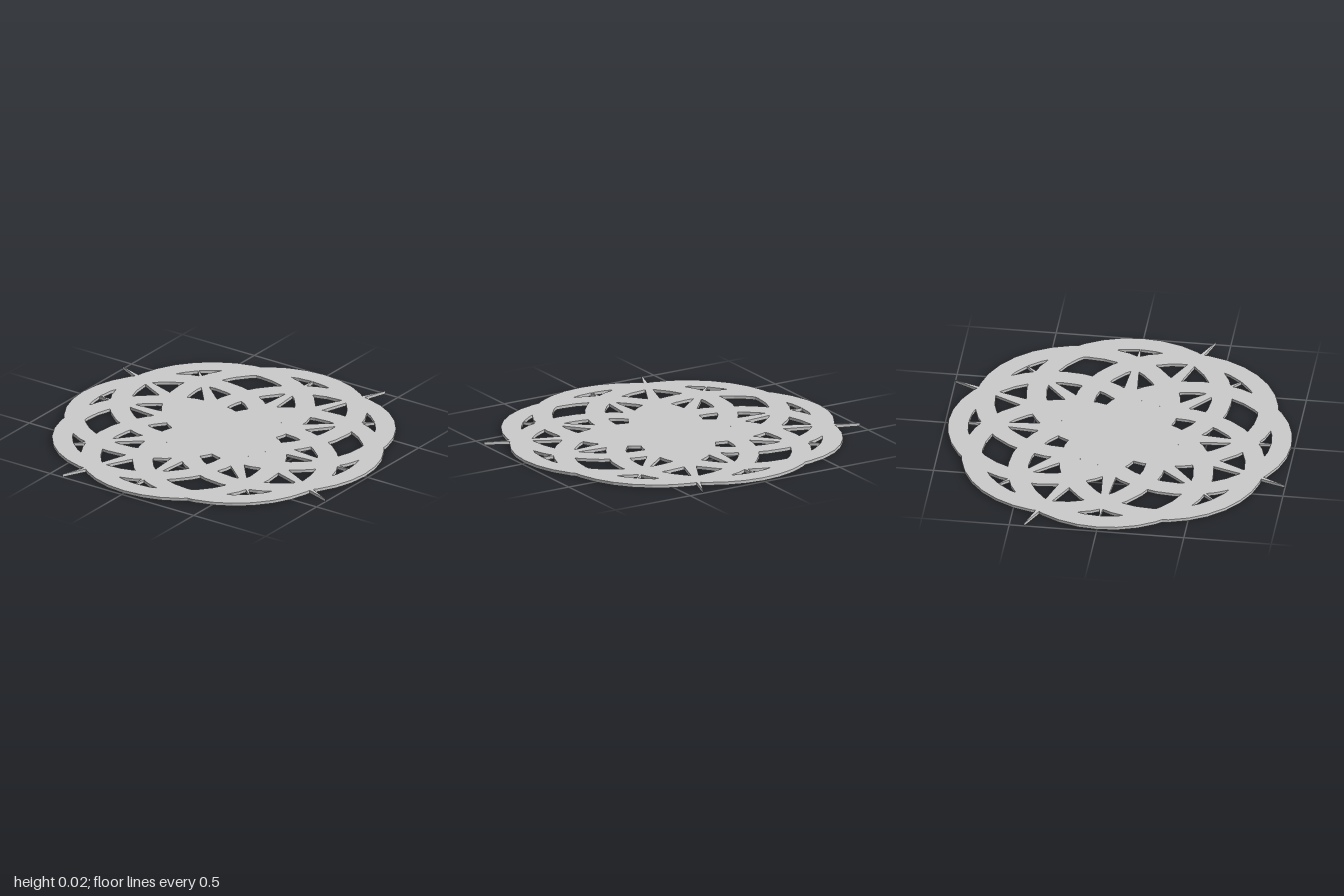
import * as THREE from 'three';

const T = 0.018;       // plate thickness
const OFFSET = 0.396;  // ring centres from the middle
const OUTER = 0.586, INNER = 0.47, SIDES = 32;

const material = new THREE.MeshStandardMaterial({ color: 0xcccccc, flatShading: true });

const circlePoints = (radius, sides) => Array.from({ length: sides }, (_, i) => {
  const a = (i / sides) * Math.PI * 2;
  return new THREE.Vector2(Math.cos(a) * radius, Math.sin(a) * radius);
});

// Extrude a flat outline into a plate lying on y = 0
function plate(shape) {
  const geometry = new THREE.ExtrudeGeometry(shape, { depth: T, bevelEnabled: false });
  return geometry.rotateX(-Math.PI / 2);
}

// Tapered ray running outwards along +x, hidden at its base by the hub
function rayShape(tip, slope) {
  const base = 0.2, half = (tip - base) * slope;
  return new THREE.Shape([
    new THREE.Vector2(base, -half),
    new THREE.Vector2(tip, 0),
    new THREE.Vector2(base, half),
  ]);
}

export function createModel() {
  const group = new THREE.Group();
  group.name = 'interlacedRingPlate';

  const add = (name, geometry, angle = 0, offset = 0) => {
    const mesh = new THREE.Mesh(geometry, material);
    mesh.name = name;
    mesh.rotation.y = angle;
    mesh.position.set(Math.cos(angle) * offset, 0, -Math.sin(angle) * offset);
    group.add(mesh);
  };

  // Eight overlapping rings, each with a short ray along its axis
  const ringShape = new THREE.Shape(circlePoints(OUTER, SIDES));
  ringShape.holes.push(new THREE.Path(circlePoints(INNER, SIDES)));
  const ring = plate(ringShape);
  const shortRay = plate(rayShape(0.9, 0.087));
  for (let i = 0; i < 8; i++) {
    const angle = (i * Math.PI) / 4;
    add('ring', ring, angle, OFFSET);
    add('shortRay', shortRay, angle);
  }

  // Four long rays that poke out between the rings
  const longRay = plate(rayShape(1.082, 0.078));
  for (let i = 0; i < 4; i++) add('longRay', longRay, -Math.PI / 8 + (i * Math.PI) / 2);

  // Solid middle
  add('hub', plate(new THREE.Shape(circlePoints(0.27, SIDES))));

  return group;
}
